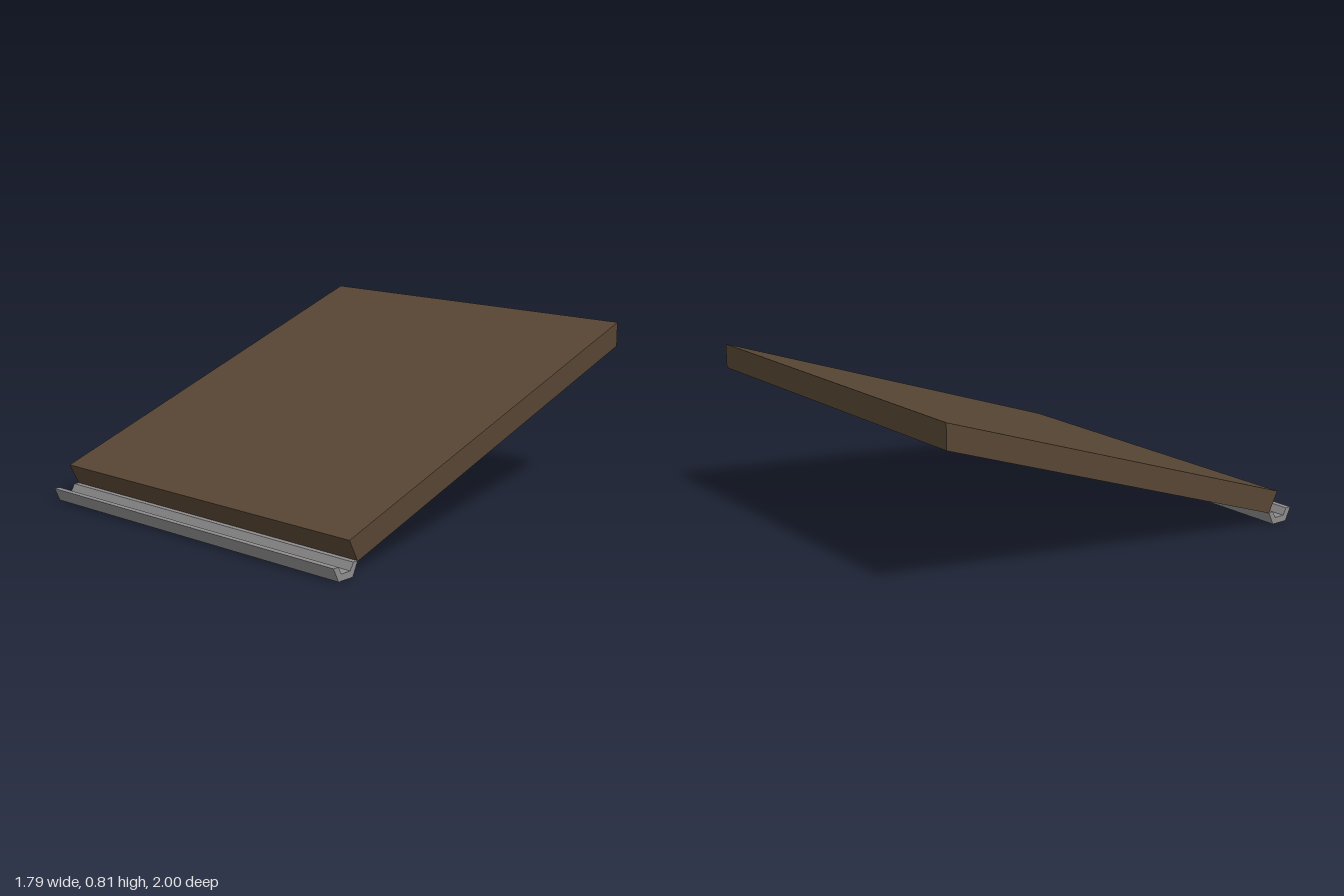
import * as THREE from 'three';

const WIDTH = 1.79;

// Sweeps a side profile of [z, y] points across the full width.
function sweep(name, points, material) {
  const shape = new THREE.Shape(points.map(([z, y]) => new THREE.Vector2(z, y)));
  const geometry = new THREE.ExtrudeGeometry(shape, { depth: WIDTH, bevelEnabled: false });
  geometry.translate(0, 0, -WIDTH / 2).rotateY(-Math.PI / 2);
  const mesh = new THREE.Mesh(geometry, material);
  mesh.name = name;
  return mesh;
}

export function createModel() {
  const brown = new THREE.MeshStandardMaterial({ name: 'dark brown', color: 0x574533 });
  const grey = new THREE.MeshStandardMaterial({ name: 'gutter grey', color: 0x8e8c8c });

  const group = new THREE.Group();
  group.name = 'slopedRoof';

  // Sloping slab: plumb cut at the back, undercut at the eave
  group.add(sweep('roofSlab', [[0.905, 0.16], [-1, 0.812], [-1, 0.697], [0.855, 0.06]], brown));

  // Open trough below the eave
  group.add(sweep('gutter', [
    [1, 0.063], [0.97, 0], [0.885, 0], [0.855, 0.063],
    [0.882, 0.063], [0.9, 0.03], [0.953, 0.03], [0.971, 0.063],
  ], grey));

  return group;
}
